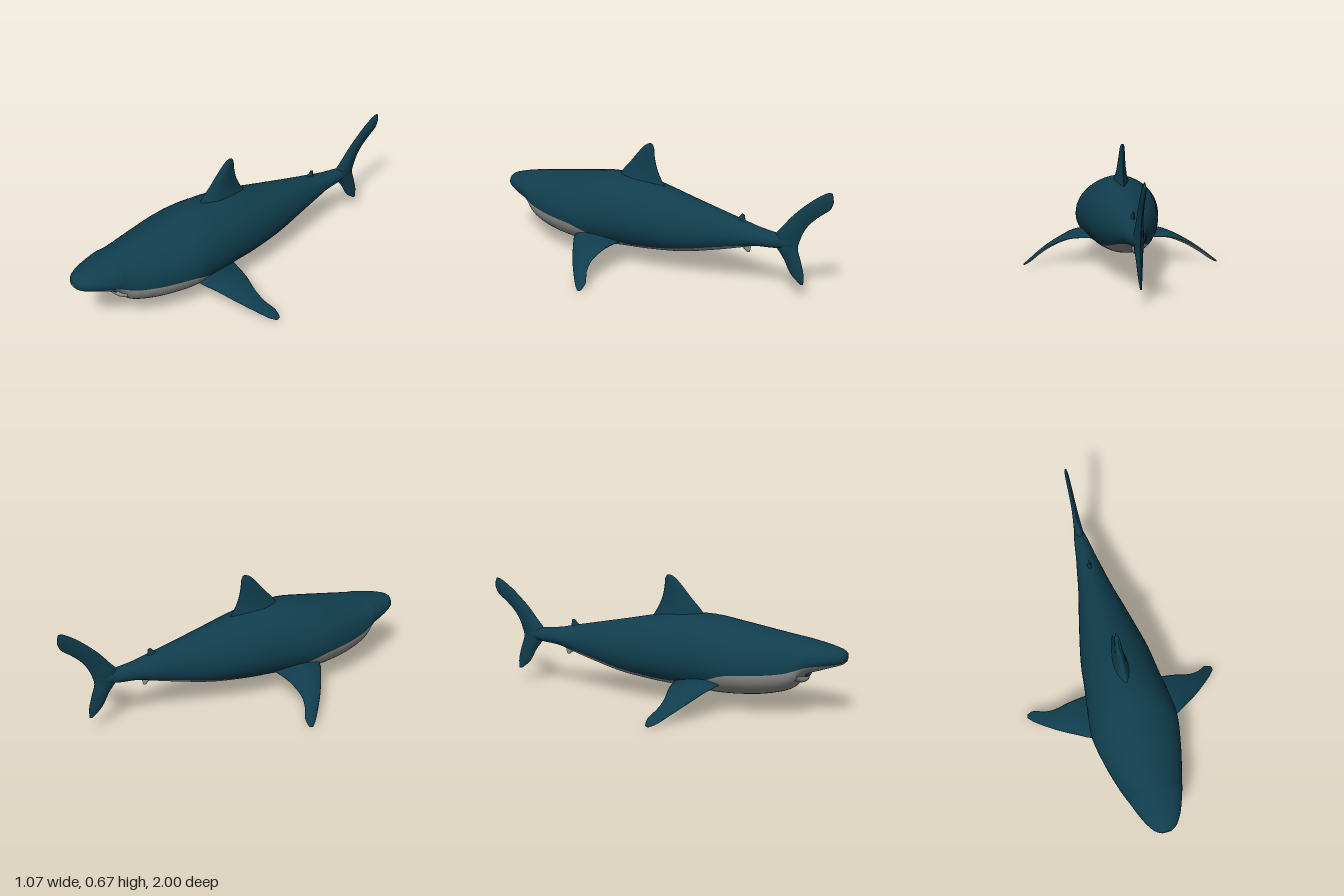
import * as THREE from 'three';

const teal = new THREE.MeshStandardMaterial({ color: 0x103d4d });
teal.name = 'deep teal skin';
const grey = new THREE.MeshStandardMaterial({ color: 0x929290 });
grey.name = 'pale grey belly';

// Catmull-Rom interpolation of every column of a station table
function refine(rows, steps) {
  const out = [];
  const at = (i) => rows[Math.min(rows.length - 1, Math.max(0, i))];
  for (let i = 0; i < rows.length - 1; i++) {
    for (let s = 0; s < steps; s++) {
      const t = s / steps;
      out.push(rows[i].map((b, k) => {
        const a = at(i - 1)[k], c = at(i + 1)[k], d = at(i + 2)[k];
        return 0.5 * (2 * b + (c - a) * t + (2 * a - 5 * b + 4 * c - d) * t * t
          + (3 * b - a - 3 * c + d) * t * t * t);
      }));
    }
  }
  out.push(rows[rows.length - 1]);
  return out;
}

// Skin closed rings of points; isPale(column) picks the second material
function loft(name, rings, isPale, flip = false) {
  const n = rings[0].length, last = rings.length - 1;
  const pos = [], faces = [[], []];
  rings.forEach((r) => r.forEach((p) => pos.push(p.x, p.y, p.z)));
  const centres = [rings[0], rings[last]].map((r) => {
    const c = r.reduce((s, p) => s.add(p), new THREE.Vector3()).divideScalar(n);
    pos.push(c.x, c.y, c.z);
    return pos.length / 3 - 1;
  });
  for (let j = 0; j < n; j++) {
    const k = (j + 1) % n, list = faces[isPale(j) ? 1 : 0];
    const tri = (a, b, c) => (flip ? list.push(a, c, b) : list.push(a, b, c));
    for (let i = 0; i < last; i++) {
      const a = i * n + j, b = i * n + k;
      tri(a, b, a + n);
      tri(b, b + n, a + n);
    }
    tri(centres[0], k, j);
    tri(centres[1], last * n + j, last * n + k);
  }
  const g = new THREE.BufferGeometry();
  g.setAttribute('position', new THREE.Float32BufferAttribute(pos, 3));
  g.setIndex([...faces[0], ...faces[1]]);
  g.addGroup(0, faces[0].length, 0);
  g.addGroup(faces[0].length, faces[1].length, 1);
  g.computeVertexNormals();
  const mesh = new THREE.Mesh(g, [teal, grey]);
  mesh.name = name;
  return mesh;
}

// Body stations: z, top, bottom, half width, height of the colour line
const BODY = [
  [1.0, 0.338, 0.295, 0.025, 0.298],
  [0.98, 0.352, 0.278, 0.058, 0.29],
  [0.93, 0.368, 0.262, 0.092, 0.284],
  [0.87, 0.382, 0.242, 0.118, 0.28],
  [0.82, 0.392, 0.225, 0.136, 0.274],
  [0.79, 0.398, 0.2, 0.146, 0.266],
  [0.76, 0.403, 0.155, 0.155, 0.256],
  [0.7, 0.413, 0.122, 0.173, 0.24],
  [0.58, 0.433, 0.096, 0.205, 0.228],
  [0.42, 0.46, 0.085, 0.234, 0.218],
  [0.3, 0.48, 0.087, 0.225, 0.175],
  [0.14, 0.48, 0.098, 0.203, 0.145],
  [0.0, 0.462, 0.108, 0.186, 0.146],
  [-0.2, 0.421, 0.132, 0.143, 0.17],
  [-0.4, 0.381, 0.182, 0.094, 0.212],
  [-0.52, 0.357, 0.218, 0.07, 0.236],
  [-0.6, 0.34, 0.242, 0.054, 0.247],
  [-0.7, 0.33, 0.252, 0.038, 0.25],
  [-0.8, 0.32, 0.27, 0.014, 0.265],
];

function makeBody() {
  const n = 12;
  const rings = refine(BODY, 4).map(([z, top, bottom, w, line]) => {
    const mid = bottom + 0.44 * (top - bottom);
    const s = line > mid ? (line - mid) / (top - mid) : (line - mid) / (mid - bottom);
    const split = Math.asin(Math.max(-0.995, Math.min(0.9, s)));
    const point = (a, side) => {
      const up = Math.sin(a) > 0;
      const x = w * Math.pow(Math.max(0, Math.cos(a)), up ? 1.1 : 0.78);
      return new THREE.Vector3(side * x, mid + Math.sin(a) * (up ? top - mid : mid - bottom), z);
    };
    const angles = [];
    for (let j = 0; j <= n; j++) angles.push(Math.PI / 2 + (split - Math.PI / 2) * j / n);
    for (let j = 1; j <= n; j++) angles.push(split + (-Math.PI / 2 - split) * j / n);
    const left = angles.map((a) => point(a, 1));
    const right = angles.slice(1, -1).reverse().map((a) => point(a, -1));
    return [...left, ...right];
  });
  return loft('body', rings, (j) => j >= n && j < 3 * n);
}

// Fin stations: leading x,y,z, trailing x,y,z, half thickness
function makeFin(name, stations, normal, isPale = () => false) {
  const n = 10;
  const rows = refine(stations, 4);
  const rings = rows.map((r) => {
    const lead = new THREE.Vector3(r[0], r[1], r[2]);
    const trail = new THREE.Vector3(r[3], r[4], r[5]);
    const ring = [];
    for (let j = 0; j < 2 * n; j++) {
      const u = (1 - Math.cos(Math.PI * j / n)) / 2;
      const t = r[6] * Math.sin(Math.PI * Math.pow(u, 0.75)) * (j < n ? 1 : -1);
      ring.push(lead.clone().lerp(trail, u).addScaledVector(normal, t));
    }
    return ring;
  });
  const a = rows[0], b = rows[rows.length - 1];
  const chord = new THREE.Vector3(a[3] - a[0], a[4] - a[1], a[5] - a[2]);
  const span = new THREE.Vector3(b[0] - a[0], b[1] - a[1], b[2] - a[2]);
  return loft(name, rings, (j) => isPale(j >= n), chord.cross(span).dot(normal) < 0);
}

// Upright fin on the centre line: leading z,y, trailing z,y, half thickness
const uprightFin = (name, rows, pale = false) => makeFin(name,
  rows.map(([z1, y1, z2, y2, t]) => [0, y1, z1, 0, y2, z2, t]),
  new THREE.Vector3(1, 0, 0), () => pale);

function pectoralFin(side) {
  const rows = [
    [0.15, 0.165, 0.41, 0.15, 0.15, 0.14, 0.03],
    [0.235, 0.158, 0.385, 0.235, 0.15, 0.15, 0.024],
    [0.3, 0.138, 0.345, 0.3, 0.142, 0.157, 0.018],
    [0.38, 0.1, 0.29, 0.38, 0.112, 0.165, 0.014],
    [0.45, 0.06, 0.232, 0.44, 0.078, 0.152, 0.011],
    [0.505, 0.024, 0.18, 0.49, 0.042, 0.122, 0.009],
    [0.535, 0.01, 0.145, 0.53, 0.014, 0.122, 0.004],
  ].map((r) => r.map((v, k) => (k === 0 || k === 3 ? v * side : v)));
  return makeFin(side > 0 ? 'leftPectoralFin' : 'rightPectoralFin', rows,
    new THREE.Vector3(0.38 * side, 0.92, 0), (under) => under);
}

// Curved strand across the jaw
function jawLine(name, points, radius, material) {
  const curve = new THREE.CatmullRomCurve3(points.map((p) => new THREE.Vector3(...p)));
  const mesh = new THREE.Mesh(new THREE.TubeGeometry(curve, 32, radius, 8), material);
  mesh.name = name;
  return mesh;
}

export function createModel() {
  const model = new THREE.Group();
  model.name = 'shark';
  model.add(makeBody(), pectoralFin(1), pectoralFin(-1));

  model.add(uprightFin('dorsalFin', [
    [0.27, 0.44, -0.06, 0.43, 0.05],
    [0.225, 0.5, -0.02, 0.49, 0.032],
    [0.17, 0.56, 0.007, 0.55, 0.022],
    [0.115, 0.625, 0.02, 0.61, 0.016],
    [0.08, 0.66, 0.023, 0.65, 0.012],
    [0.055, 0.674, 0.033, 0.672, 0.006],
  ]));
  model.add(uprightFin('secondDorsalFin', [
    [-0.46, 0.345, -0.535, 0.335, 0.014],
    [-0.49, 0.372, -0.528, 0.365, 0.009],
    [-0.508, 0.392, -0.525, 0.388, 0.005],
  ]));
  model.add(uprightFin('analFin', [
    [-0.48, 0.235, -0.565, 0.245, 0.014],
    [-0.52, 0.21, -0.563, 0.215, 0.009],
    [-0.54, 0.194, -0.558, 0.194, 0.005],
  ], true));
  model.add(uprightFin('tailFin', [
    [-0.845, 0.083, -0.863, 0.083, 0.004],
    [-0.79, 0.13, -0.862, 0.14, 0.01],
    [-0.75, 0.2, -0.843, 0.21, 0.016],
    [-0.705, 0.26, -0.825, 0.27, 0.022],
    [-0.69, 0.31, -0.835, 0.32, 0.024],
    [-0.735, 0.37, -0.855, 0.37, 0.019],
    [-0.8, 0.45, -0.885, 0.415, 0.014],
    [-0.89, 0.535, -0.93, 0.46, 0.012],
    [-0.96, 0.585, -0.983, 0.505, 0.01],
    [-0.99, 0.592, -1.0, 0.545, 0.005],
  ]));

  // Mouth slit and lower lip
  model.add(jawLine('mouth', [[-0.08, 0.224, 0.8], [-0.04, 0.214, 0.806],
    [0, 0.211, 0.808], [0.04, 0.214, 0.806], [0.08, 0.224, 0.8]], 0.01, teal));
  model.add(jawLine('lowerLip', [[-0.135, 0.222, 0.765], [-0.08, 0.2, 0.785],
    [0, 0.188, 0.792], [0.08, 0.2, 0.785], [0.135, 0.222, 0.765]], 0.015, grey));
  return model;
}
